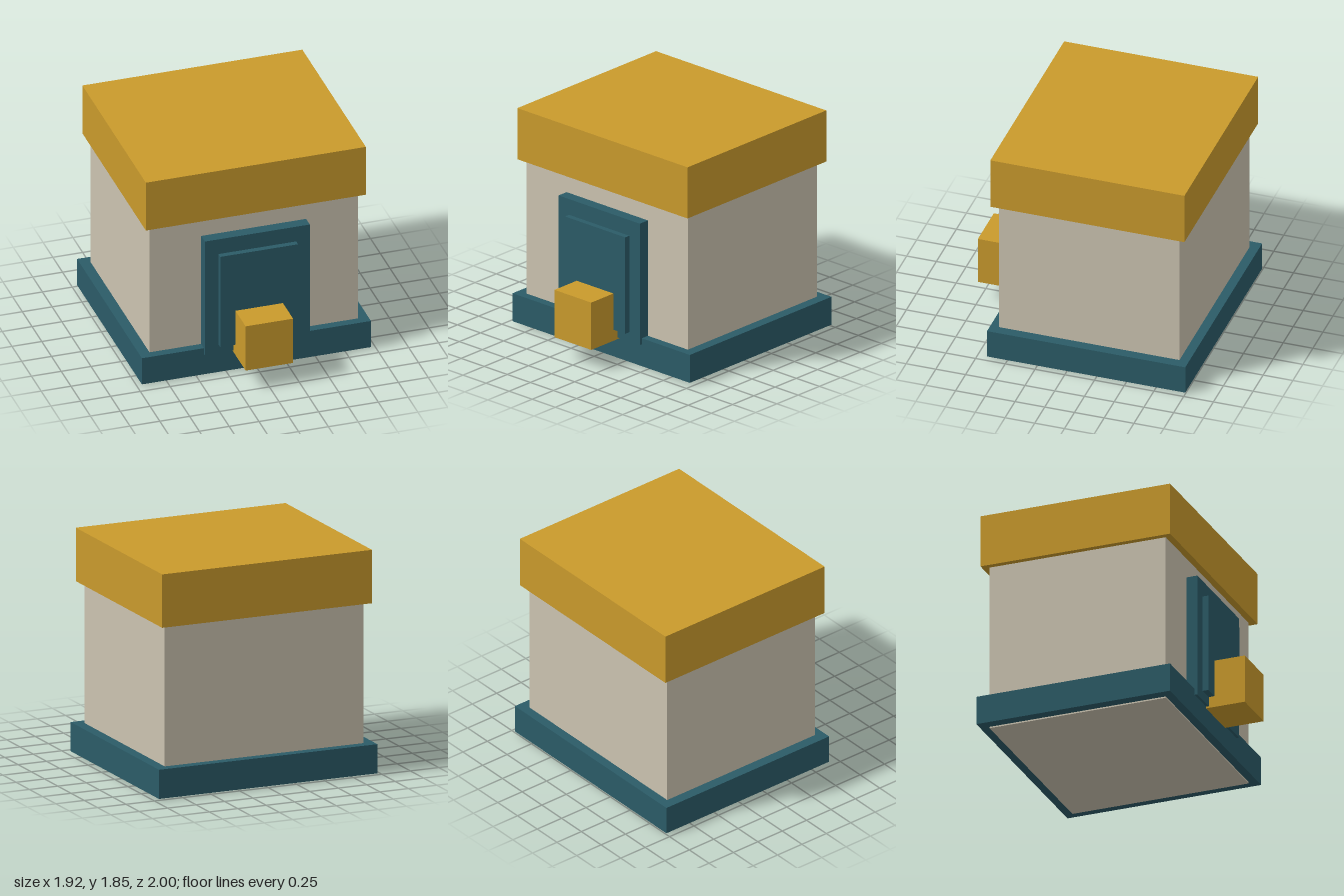
import * as THREE from 'three';

const flat = (name, color) => {
  const material = new THREE.MeshStandardMaterial({ color });
  material.name = name;
  return material;
};

export function createModel() {
  const group = new THREE.Group();
  group.name = 'kiosk';
  const gold = flat('gold', 0xc99a2c);
  const teal = flat('teal', 0x2b5b67);
  const stone = flat('stone', 0xcbc3b0);

  // Box centred on x, given its half width and its y and z ranges
  const block = (name, material, halfWidth, [y0, y1], [z0, z1]) => {
    const mesh = new THREE.Mesh(new THREE.BoxGeometry(halfWidth * 2, y1 - y0, z1 - z0), material);
    mesh.name = name;
    mesh.position.set(0, (y0 + y1) / 2, (z0 + z1) / 2);
    group.add(mesh);
  };

  // Main building
  block('walls', stone, 0.873, [0, 1.415], [-0.922, 0.595]);
  block('plinth', teal, 0.96, [0.012, 0.252], [-1, 0.667]);
  block('roof', gold, 0.922, [1.412, 1.852], [-0.98, 0.652]);

  // Entrance
  block('doorFrame', teal, 0.44, [0.2, 1.245], [0.58, 0.69]);
  block('doorPanel', teal, 0.326, [0.28, 1.11], [0.67, 0.738]);
  block('frontBlock', gold, 0.199, [0.185, 0.592], [0.65, 1]);

  return group;
}
